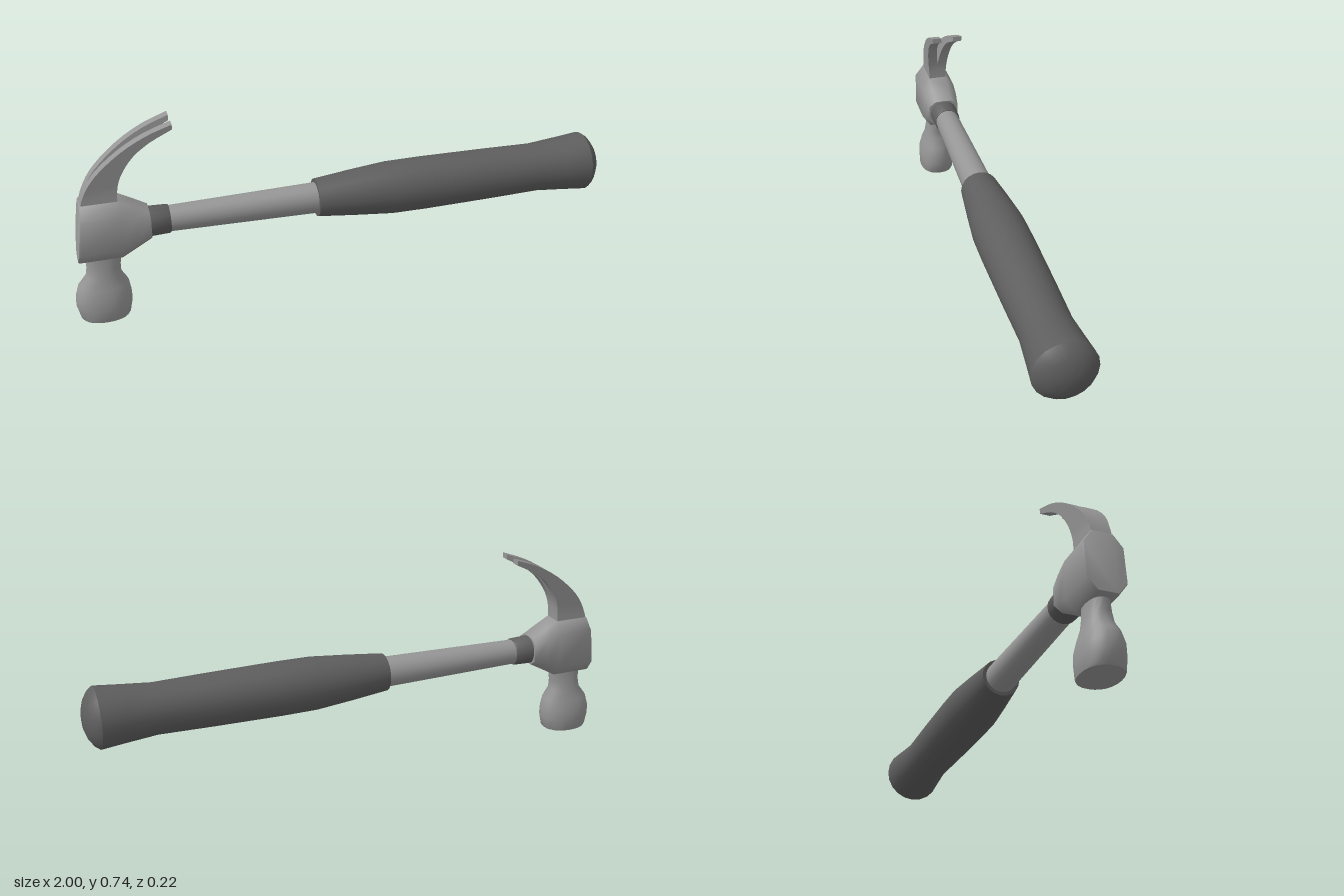
import * as THREE from 'three';
import { toCreasedNormals } from 'three/addons/utils/BufferGeometryUtils.js';

const AXIS_Y = 0.35;
const steel = new THREE.MeshStandardMaterial({ color: 0x969696 });
const rubber = new THREE.MeshStandardMaterial({ color: 0x5e5e5e });

// Skin a list of equal-length rings of [x, y, z] points and cap both ends
function loft(rings, crease = 0.6) {
  const n = rings[0].length;
  const tris = [];
  for (let i = 0; i < rings.length - 1; i++) {
    for (let j = 0; j < n; j++) {
      const k = (j + 1) % n;
      const a = rings[i][j], b = rings[i][k], c = rings[i + 1][k], d = rings[i + 1][j];
      tris.push([a, b, c], [a, c, d]);
    }
  }
  const first = rings[0], last = rings[rings.length - 1];
  for (let j = 1; j < n - 1; j++) {
    tris.push([first[0], first[j + 1], first[j]], [last[0], last[j], last[j + 1]]);
  }
  // Turn the faces outward if the enclosed volume comes out negative
  const o = new THREE.Vector3(...first[0]);
  const v = (p) => new THREE.Vector3(...p).sub(o);
  const volume = tris.reduce((s, [a, b, c]) => s + v(a).dot(v(b).cross(v(c))), 0);
  if (volume < 0) tris.forEach((t) => t.reverse());
  const geo = new THREE.BufferGeometry();
  geo.setAttribute('position', new THREE.Float32BufferAttribute(tris.flat(2), 3));
  return toCreasedNormals(geo, crease);
}

// Turned part lying along x, from [x, radius] pairs
function turned(profile) {
  const geo = new THREE.LatheGeometry(profile.map(([x, r]) => new THREE.Vector2(r, x)), 20);
  geo.rotateZ(-Math.PI / 2).translate(0, AXIS_Y, 0);
  return toCreasedNormals(geo, 0.7);
}

export function createModel() {
  const group = new THREE.Group();
  const add = (name, geo, mat) => {
    const mesh = new THREE.Mesh(geo, mat);
    mesh.name = name;
    group.add(mesh);
  };

  // Handle
  add('grip', turned([[-0.11, 0], [-0.11, 0.07], [0.03, 0.085], [0.17, 0.098], [0.3, 0.099],
    [0.55, 0.096], [0.75, 0.092], [0.86, 0.102], [0.95, 0.111], [0.967, 0.098],
    [0.986, 0.071], [0.997, 0.037], [1, 0]]), rubber);
  add('shaft', turned([[-0.72, 0], [-0.72, 0.045], [-0.65, 0.047], [-0.1, 0.057], [-0.1, 0]]), steel);
  add('collar', turned([[-0.73, 0], [-0.73, 0.055], [-0.65, 0.052], [-0.645, 0.049], [-0.645, 0]]), rubber);

  // Head body: chamfered sections [x, low y, high y, half depth, lean of the top, edge depth]
  const bodyRings = [
    [-0.977, 0.243, 0.458, 0.066, 0.024, 0.034],
    [-0.971, 0.24, 0.462, 0.068, 0.021, 0.036],
    [-0.822, 0.24, 0.462, 0.068, 0, 0.036],
    [-0.77, 0.269, 0.434, 0.066, 0, 0.035],
    [-0.716, 0.298, 0.404, 0.06, 0, 0.032],
  ].map(([x, lo, hi, z, lean, edge]) => {
    const cut = (hi - lo) * 0.2;
    const side = [[lo, edge], [lo + cut, z], [hi - cut, z], [hi, edge]];
    const point = (y, w) => [x + lean * (y - lo) / (hi - lo), y, w];
    return [...side.map(([y, w]) => point(y, w)), ...side.reverse().map(([y, w]) => point(y, -w))];
  });
  add('headBody', loft(bodyRings, 1), steel);

  // Neck and striking face: [y, centre x, half width, half depth]
  const pollRings = [
    [0.3, -0.886, 0.066, 0.034], [0.24, -0.886, 0.064, 0.036], [0.2, -0.89, 0.06, 0.041],
    [0.165, -0.893, 0.063, 0.047], [0.125, -0.897, 0.09, 0.058], [0.085, -0.9, 0.099, 0.069],
    [0.05, -0.9, 0.1, 0.07], [0.006, -0.9, 0.09, 0.069], [0, -0.9, 0.086, 0.067],
  ].map(([y, cx, rx, rz]) => Array.from({ length: 24 }, (_, i) => {
    const t = (i / 24) * Math.PI * 2;
    const round = (c) => Math.sign(c) * Math.abs(c) ** 0.9;
    return [cx + rx * round(Math.cos(t)), y, rz * round(Math.sin(t))];
  }));
  add('poll', loft(pollRings, 0.7), steel);

  // Claw: matching curves along its back and its hollow side, split into two prongs
  const curve = (pts) => new THREE.CatmullRomCurve3(pts.map(([x, y]) => new THREE.Vector3(x, y, 0)));
  const back = curve([[-0.958, 0.4], [-0.948, 0.46], [-0.925, 0.518], [-0.887, 0.572],
    [-0.8, 0.649], [-0.71, 0.702], [-0.62, 0.736]]);
  const hollow = curve([[-0.822, 0.4], [-0.822, 0.462], [-0.815, 0.525], [-0.797, 0.572],
    [-0.757, 0.629], [-0.7, 0.675], [-0.62, 0.717]]);
  for (const side of [1, -1]) {
    const rings = [];
    for (let i = 0; i <= 18; i++) {
      const t = i / 18;
      const a = back.getPoint(t), b = hollow.getPoint(t);
      // The slot opens and the outer side flares with height
      const slot = (y) => side * Math.max(0, y - 0.528) * 0.118;
      const outer = (y) => side * (0.035 + Math.max(0, y - 0.5) * 0.1);
      rings.push([
        [a.x, a.y, slot(a.y)], [a.x, a.y, outer(a.y)],
        [b.x, b.y, outer(b.y)], [b.x, b.y, slot(b.y)],
      ]);
    }
    add(side > 0 ? 'clawFront' : 'clawBack', loft(rings), steel);
  }
  return group;
}
